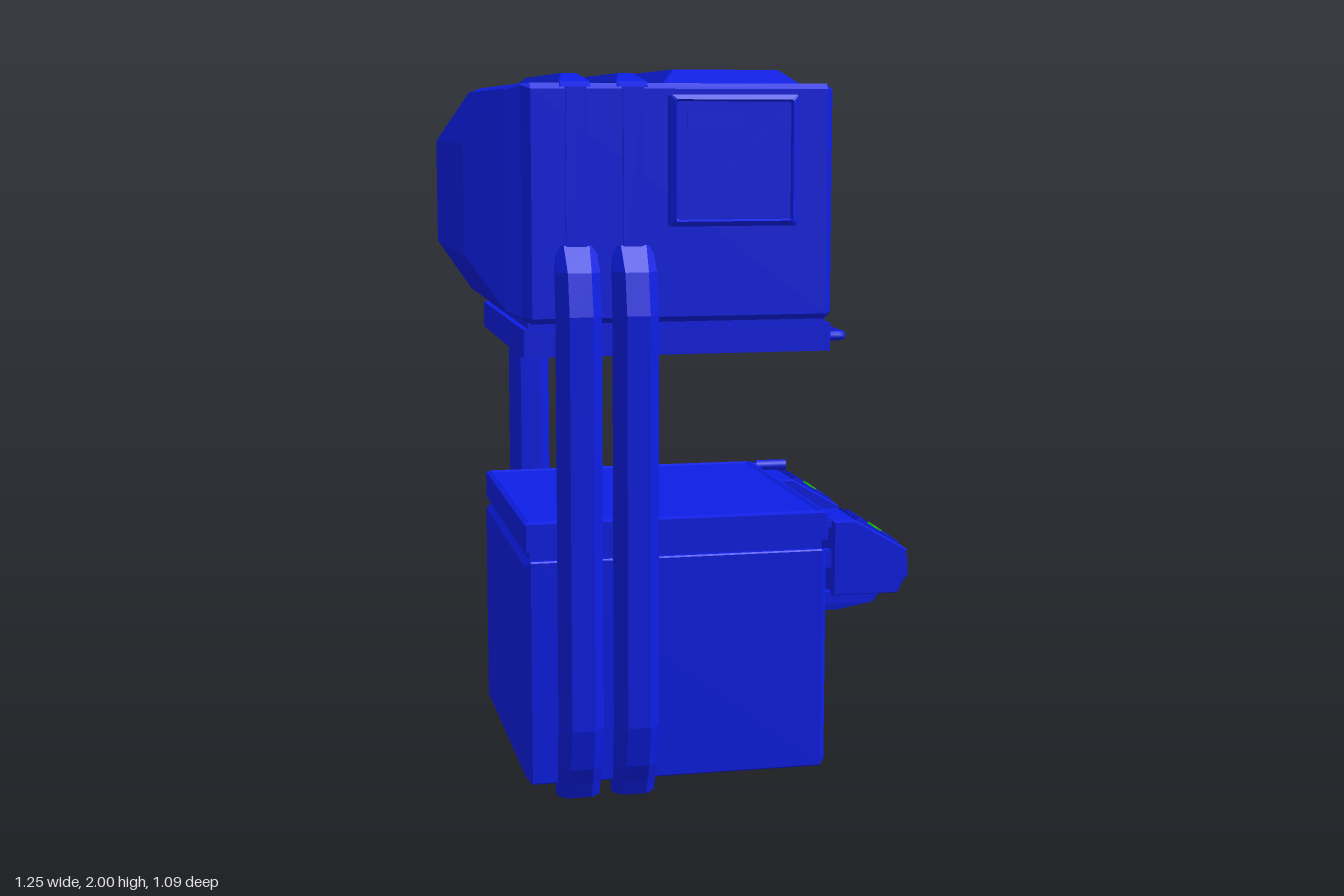
import * as THREE from 'three';

const blue = new THREE.MeshStandardMaterial({ color: 0x0d1ee6, flatShading: true });
const smoothBlue = new THREE.MeshStandardMaterial({ color: 0x0d1ee6 });
const green = new THREE.MeshStandardMaterial({ color: 0x1fd00f, flatShading: true });

// Loft of chamfered rectangles along an axis. Ring: [t, u0, u1, v0, v1, chamfer]
// axis x: u = y, v = z    axis y: u = z, v = x    axis z: u = x, v = y
function loft(axis, rings) {
  const place = {
    x: (t, u, v) => [t, u, v],
    y: (t, u, v) => [v, t, u],
    z: (t, u, v) => [u, v, t],
  }[axis];
  const loops = rings.map(([t, a, b, c, d, k = 0.004]) => [
    [a + k, c], [b - k, c], [b, c + k], [b, d - k],
    [b - k, d], [a + k, d], [a, d - k], [a, c + k],
  ].map(([u, v]) => place(t, u, v)));
  const pos = [];
  const tri = (...p) => p.forEach((q) => pos.push(...q));
  for (let r = 0; r < loops.length - 1; r++) {
    const A = loops[r], B = loops[r + 1];
    for (let i = 0; i < 8; i++) {
      const j = (i + 1) % 8;
      tri(A[i], A[j], B[j]);
      tri(A[i], B[j], B[i]);
    }
  }
  const first = loops[0], last = loops[loops.length - 1];
  for (let i = 1; i < 7; i++) {
    tri(first[0], first[i + 1], first[i]);
    tri(last[0], last[i], last[i + 1]);
  }
  const g = new THREE.BufferGeometry();
  g.setAttribute('position', new THREE.Float32BufferAttribute(pos, 3));
  g.computeVertexNormals();
  return g;
}

function add(parent, name, geometry, material = blue) {
  const m = new THREE.Mesh(geometry, material);
  m.name = name;
  parent.add(m);
  return m;
}

// Box given by its min and max on each axis
function box(parent, name, x0, x1, y0, y1, z0, z1, material = blue) {
  const m = add(parent, name, new THREE.BoxGeometry(x1 - x0, y1 - y0, z1 - z0), material);
  m.position.set((x0 + x1) / 2, (y0 + y1) / 2, (z0 + z1) / 2);
  return m;
}

function tube(parent, name, points, radius) {
  const path = new THREE.CatmullRomCurve3(points.map((p) => new THREE.Vector3(...p)), false, 'catmullrom', 0.2);
  return add(parent, name, new THREE.TubeGeometry(path, 48, radius, 10), smoothBlue);
}

function makeControlBox(z) {
  const g = new THREE.Group();
  g.name = 'controlBox';
  g.position.z = z;
  // Housing profile, seen from the front
  const profile = [[0.40, 0.535], [0.585, 0.535], [0.615, 0.59], [0.61, 0.655], [0.46, 0.742], [0.40, 0.742]];
  const shape = new THREE.Shape(profile.map(([x, y]) => new THREE.Vector2(x, y)));
  const housing = new THREE.ExtrudeGeometry(shape, { depth: 0.18, bevelThickness: 0.01, bevelSize: 0.004, bevelSegments: 1 });
  add(g, 'controlHousing', housing).position.z = -0.09;
  // Sloped panel with keys and a display
  const panel = new THREE.Group();
  panel.name = 'keyPanel';
  panel.position.set(0.53, 0.706, 0);
  panel.rotation.z = Math.atan2(0.655 - 0.742, 0.15);
  g.add(panel);
  box(panel, 'panelPlate', -0.075, 0.07, -0.005, 0.007, -0.083, 0.083);
  box(panel, 'display', -0.01, 0.018, 0, 0.011, -0.055, 0.055, green);
  for (let i = 0; i < 4; i++) {
    const k = -0.06 + i * 0.034;
    box(panel, 'key', -0.063, -0.033, 0, 0.013, k - 0.004, k + 0.02);
  }
  // Ribs on the outer face, arms to the cabinet and plugs below
  for (const y of [0.575, 0.62]) box(g, 'faceRib', 0.55, 0.62, y, y + 0.012, -0.085, 0.085);
  for (const zz of [-0.065, 0.065]) {
    box(g, 'upperArm', 0.36, 0.42, 0.725, 0.745, zz - 0.015, zz + 0.015);
    box(g, 'lowerArm', 0.36, 0.42, 0.61, 0.66, zz - 0.015, zz + 0.015);
  }
  for (const zz of [-0.063, 0, 0.063]) {
    add(g, 'plug', loft('y', [
      [0.487, zz - 0.014, zz + 0.014, 0.37, 0.42],
      [0.505, zz - 0.017, zz + 0.017, 0.37, 0.52],
      [0.54, zz - 0.017, zz + 0.017, 0.37, 0.55],
    ]));
  }
  return g;
}

export function createModel() {
  const model = new THREE.Group();
  model.name = 'pressMachine';

  // Lower cabinet with a tapered recess in its +x face
  add(model, 'lowerCabinet', loft('x', [
    [-0.48, 0.055, 0.655, -0.41, 0.445],
    [-0.465, 0.04, 0.67, -0.425, 0.46],
    [0.36, 0.04, 0.67, -0.425, 0.46],
    [0.375, 0.055, 0.655, -0.41, 0.445],
    [0.375, 0.065, 0.65, -0.12, 0.16],
    [0.32, 0.145, 0.6, -0.06, 0.105],
  ]));
  box(model, 'cabinetNeck', -0.465, 0.365, 0.66, 0.71, -0.405, 0.44);
  add(model, 'tableTop', loft('y', [
    [0.695, -0.41, 0.45, -0.48, 0.38],
    [0.772, -0.41, 0.45, -0.48, 0.38],
    [0.778, -0.395, 0.435, -0.465, 0.365],
    [0.773, -0.385, 0.425, -0.455, 0.355],
  ]));
  add(model, 'footBar', loft('y', [
    [0.01, -0.335, 0.37, 0.235, 0.315],
    [0.045, -0.35, 0.385, 0.225, 0.325],
  ]));

  // Upper head: tapered nose at -x, recess at +x
  add(model, 'upperHead', loft('x', [
    [-0.625, 1.5, 1.8, -0.345, 0.375],
    [-0.52, 1.35, 1.945, -0.39, 0.43],
    [-0.48, 1.335, 1.958, -0.41, 0.448],
    [-0.455, 1.32, 1.96, -0.43, 0.465, 0.015],
    [0.36, 1.32, 1.96, -0.43, 0.465, 0.015],
    [0.377, 1.335, 1.945, -0.412, 0.448],
    [0.377, 1.36, 1.938, -0.115, 0.16],
    [0.33, 1.37, 1.87, -0.06, 0.105],
  ]));
  add(model, 'roofBulge', loft('y', [
    [1.955, -0.35, 0.38, -0.085, 0.315],
    [2.0, -0.26, 0.295, -0.035, 0.265],
  ]));
  box(model, 'headNeck', -0.465, 0.365, 1.3, 1.33, -0.4, 0.44);
  // Collar, hollow from below
  add(model, 'headCollar', loft('y', [
    [1.302, -0.28, 0.32, -0.35, 0.25],
    [1.23, -0.38, 0.42, -0.45, 0.35],
    [1.23, -0.41, 0.45, -0.48, 0.38],
    [1.307, -0.41, 0.45, -0.48, 0.38],
  ]));
  add(model, 'pressHead', loft('y', [
    [1.262, -0.19, 0.23, -0.26, 0.16],
    [1.305, -0.24, 0.28, -0.31, 0.21],
  ]));
  for (let i = 0; i < 6; i++) {
    const slat = add(model, 'pressSlat', new THREE.CylinderGeometry(0.024, 0.024, 0.36, 8));
    slat.rotation.z = Math.PI / 2;
    slat.position.set(-0.05, 1.26, -0.13 + i * 0.06);
  }

  // Service panels: proud at the front, nearly flush at the back
  add(model, 'frontPanel', loft('z', [
    [0.46, -0.085, 0.268, 1.58, 1.93],
    [0.498, -0.085, 0.268, 1.58, 1.93],
    [0.506, -0.07, 0.253, 1.593, 1.917],
    [0.498, -0.065, 0.248, 1.598, 1.912],
  ]));
  box(model, 'frontPanelGrip', -0.04, 0.1, 1.84, 1.885, 0.49, 0.504);
  box(model, 'backPanel', -0.02, 0.33, 1.42, 1.92, -0.435, -0.42);
  box(model, 'backPanelGrip', 0.13, 0.27, 1.83, 1.88, -0.438, -0.42);

  // Status screen and the fins above it
  add(model, 'screenFrame', loft('x', [
    [0.33, 1.375, 1.58, -0.1, 0.14],
    [0.39, 1.375, 1.58, -0.1, 0.14],
    [0.403, 1.395, 1.575, -0.08, 0.125],
  ]));
  box(model, 'statusScreen', 0.395, 0.406, 1.4, 1.57, -0.075, 0.12, green);
  for (let i = 0; i < 7; i++) {
    const z = -0.06 + i * 0.0275;
    box(model, 'screenFin', 0.33, 0.375, 1.57, 1.612, z - 0.006, z + 0.006);
  }

  // Two pairs of pillars, with the bands continuing over the head
  for (const x of [-0.335, -0.18]) {
    for (const side of [1, -1]) {
      const g = new THREE.Group();
      g.name = 'pillar';
      g.position.set(x, 0, 0.02);
      g.scale.z = side;
      model.add(g);
      add(g, 'pillarBeam', loft('y', [
        [0, 0.37, 0.455, -0.058, 0.058, 0.025],
        [0.045, 0.38, 0.475, -0.06, 0.06, 0.028],
        [0.095, 0.41, 0.5, -0.06, 0.06, 0.028],
        [0.21, 0.43, 0.525, -0.06, 0.06, 0.028],
        [1.345, 0.43, 0.525, -0.06, 0.06, 0.028],
        [1.46, 0.42, 0.5, -0.06, 0.06, 0.028],
        [1.53, 0.39, 0.452, -0.055, 0.055, 0.02],
      ]));
      box(g, 'sideBand', -0.028, 0.028, 1.48, 1.95, 0.43, 0.454);
    }
    add(model, 'roofBand', loft('y', [
      [1.95, -0.432, 0.467, x - 0.042, x + 0.042],
      [1.965, -0.41, 0.445, x - 0.042, x + 0.042],
      [1.988, -0.32, 0.36, x - 0.02, x + 0.02],
    ]));
  }

  // Grab bar on the collar
  tube(model, 'grabBar', [
    [0.36, 1.265, -0.352], [0.415, 1.265, -0.352], [0.43, 1.265, -0.335], [0.43, 1.265, 0.02],
    [0.43, 1.265, 0.375], [0.415, 1.265, 0.392], [0.36, 1.265, 0.392],
  ], 0.014);
  for (const z of [-0.25, 0.29]) box(model, 'grabBarStay', 0.37, 0.43, 1.255, 1.275, z - 0.012, z + 0.012);

  model.add(makeControlBox(0.352), makeControlBox(-0.312));

  // Crank on the back
  add(model, 'crankHub', loft('z', [
    [-0.475, 0.15, 0.25, 0.465, 0.555, 0.025],
    [-0.46, 0.135, 0.265, 0.445, 0.57, 0.035],
    [-0.42, 0.125, 0.275, 0.44, 0.58, 0.035],
  ]));
  const boss = add(model, 'crankBoss', new THREE.CylinderGeometry(0.028, 0.028, 0.04, 12), smoothBlue);
  boss.rotation.x = Math.PI / 2;
  boss.position.set(0.195, 0.512, -0.475);
  tube(model, 'crankArm', [
    [0.195, 0.512, -0.46], [0.195, 0.515, -0.51], [0.21, 0.53, -0.53],
    [0.33, 0.69, -0.53], [0.37, 0.732, -0.53], [0.44, 0.738, -0.53],
  ], 0.012);
  const grip = add(model, 'crankGrip', new THREE.CylinderGeometry(0.018, 0.018, 0.1, 12), smoothBlue);
  grip.rotation.z = Math.PI / 2;
  grip.position.set(0.473, 0.738, -0.53);

  return model;
}
